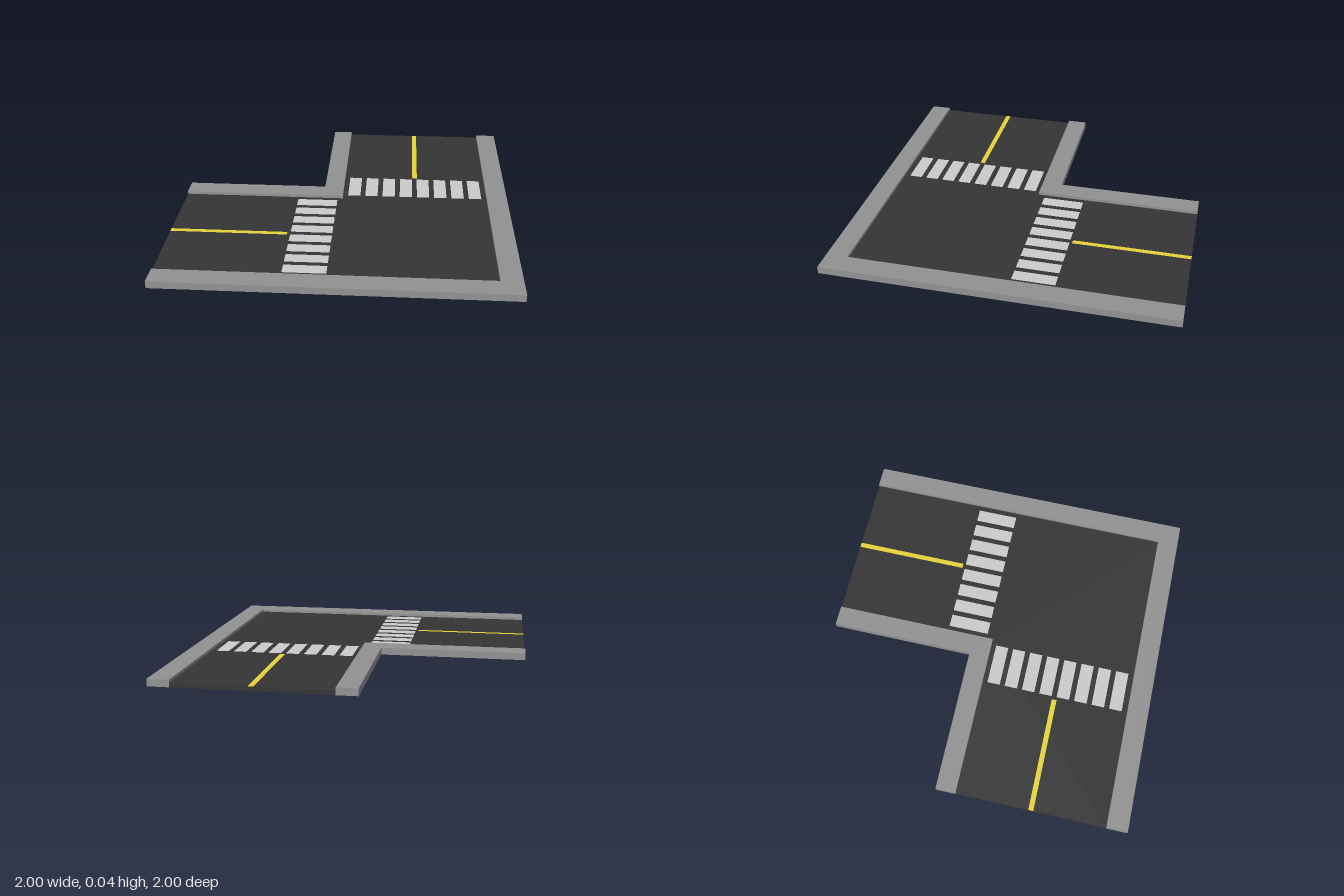
import * as THREE from 'three';

const KERB_TOP = 0.043, ROAD_TOP = 0.026;
const OUT = 1, OUT_IN = 0.875, IN = -0.02, IN_OUT = -0.14;

const material = (color, side = THREE.FrontSide) => new THREE.MeshStandardMaterial({ color, side, flatShading: true });
const asphalt = material(0x353535);
const pavement = material(0x929292);
const white = material(0xcccccc);
const yellow = material(0xe6d43a);

function add(group, name, geometry, mat) {
  const mesh = new THREE.Mesh(geometry, mat);
  mesh.name = name;
  group.add(mesh);
  return mesh;
}

// Outline given as [x, z] corners
const outline = (points, flip = 1) => new THREE.Shape(points.map(([x, z]) => new THREE.Vector2(x, flip * z)));

// Flat-topped slab between two heights
function slab(points, y0, y1) {
  return new THREE.ExtrudeGeometry(outline(points, -1), { depth: y1 - y0, bevelEnabled: false })
    .rotateX(-Math.PI / 2).translate(0, y0, 0);
}

// Sheet on the ground that faces down
const underside = (points) => new THREE.ShapeGeometry(outline(points)).rotateX(Math.PI / 2);

// Painted rectangle lying on the road
function paint(x0, x1, z0, z1) {
  return new THREE.PlaneGeometry(x1 - x0, z1 - z0).rotateX(-Math.PI / 2)
    .translate((x0 + x1) / 2, ROAD_TOP + 0.0015, (z0 + z1) / 2);
}

export function createModel() {
  const model = new THREE.Group();
  model.name = 'roadCorner';

  // L-shaped road between the pavements
  add(model, 'road', slab([
    [-1, OUT_IN], [OUT_IN, OUT_IN], [OUT_IN, -1], [IN, -1], [IN, IN], [-1, IN],
  ], 0.001, ROAD_TOP), asphalt);

  // Raised pavements along the outer and inner bends
  add(model, 'outerPavement', slab([
    [-1, OUT], [OUT, OUT], [OUT, -1], [OUT_IN, -1], [OUT_IN, OUT_IN], [-1, OUT_IN],
  ], 0.001, KERB_TOP), pavement);
  add(model, 'innerPavement', slab([
    [-1, IN_OUT], [IN_OUT, IN_OUT], [IN_OUT, -1], [IN, -1], [IN, IN], [-1, IN],
  ], 0.001, KERB_TOP), pavement);

  // Underside, with a yellow strip beneath the left pavement
  add(model, 'underside', underside([
    [-1, 1], [OUT_IN, 1], [OUT_IN, IN_OUT], [1, IN_OUT], [1, -1],
    [IN_OUT, -1], [IN_OUT, IN_OUT], [-1, IN_OUT],
  ]), asphalt);
  add(model, 'undersideStrip', underside([
    [OUT_IN, IN_OUT], [1, IN_OUT], [1, 1], [OUT_IN, 1],
  ]), yellow);

  // Centre lines of the two arms
  add(model, 'backCentreLine', paint(0.415, 0.445, -1, -0.32), yellow);
  add(model, 'sideCentreLine', paint(-1, -0.315, 0.415, 0.445), yellow);

  // Zebra crossings, one on each arm
  const backCrossing = new THREE.Group(), sideCrossing = new THREE.Group();
  backCrossing.name = 'backCrossing';
  sideCrossing.name = 'sideCrossing';
  for (let i = 0; i < 8; i++) {
    const a = 0.011 + i * 0.108, b = a + 0.077;
    add(backCrossing, 'stripe', paint(a, b, -0.305, -0.06), white);
    add(sideCrossing, 'stripe', paint(-0.296, -0.052, a - 0.002, b - 0.002), white);
  }
  model.add(backCrossing, sideCrossing);

  return model;
}
